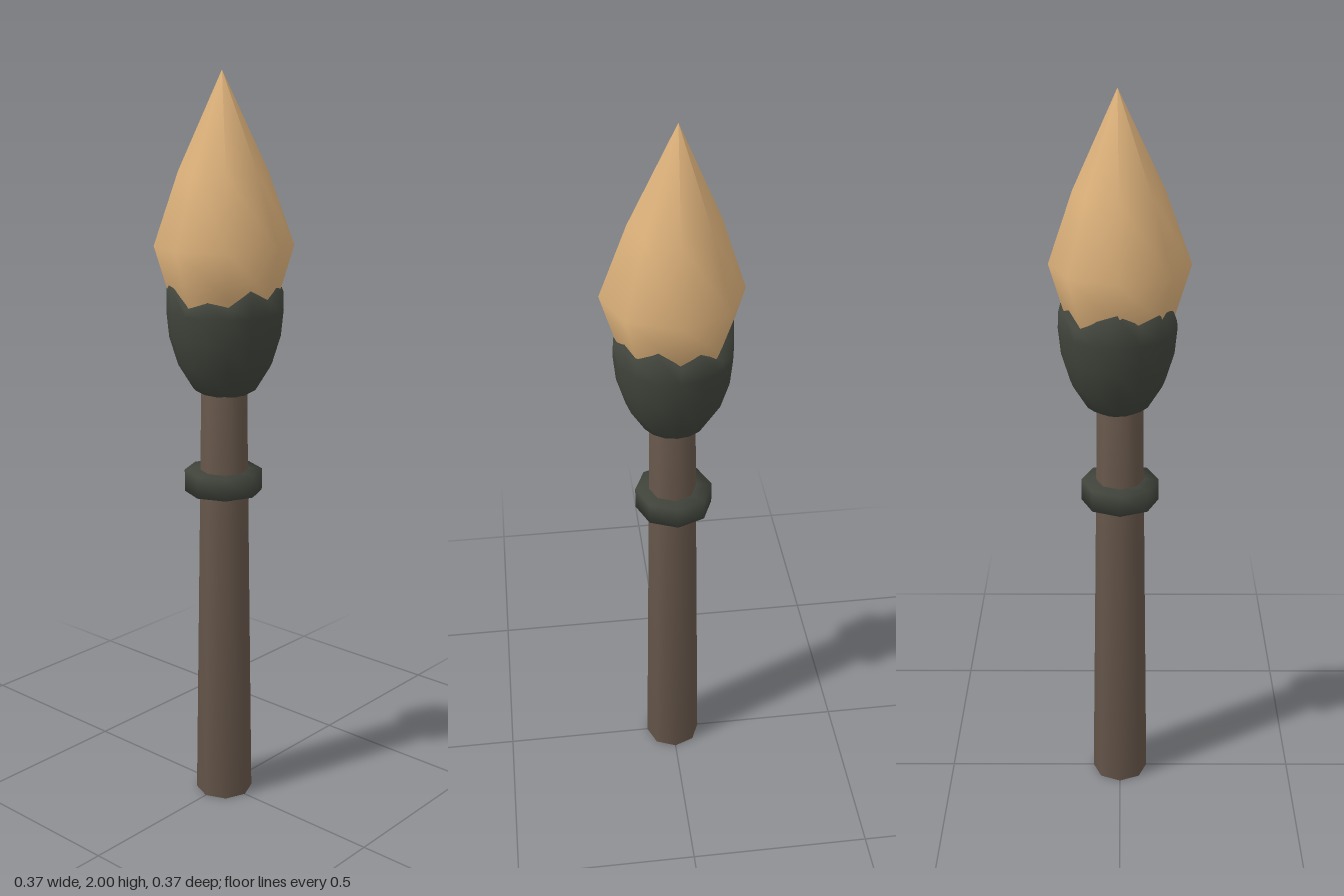
import * as THREE from 'three';

const wood = new THREE.MeshStandardMaterial({ color: 0x66564a });
wood.name = 'brown wood';
const iron = new THREE.MeshStandardMaterial({ color: 0x40443b });
iron.name = 'dark iron';
const fire = new THREE.MeshStandardMaterial({ color: 0xdbb07a });
fire.name = 'pale flame';

// Turned part from [radius, y] pairs listed bottom to top
function turned(name, profile, sides, material) {
  const points = profile.map(([r, y]) => new THREE.Vector2(r, y));
  const mesh = new THREE.Mesh(new THREE.LatheGeometry(points, sides), material);
  mesh.name = name;
  return mesh;
}

export function createModel() {
  const torch = new THREE.Group();
  torch.name = 'torch';

  // Tapered octagonal handle
  torch.add(turned('handle', [[0, 0], [0.079, 0], [0.067, 0.8], [0.061, 1.22], [0, 1.22]], 8, wood));

  // Collar around the handle
  const collar = turned('collar',
    [[0.055, 0.895], [0.105, 0.895], [0.105, 0.955], [0.055, 0.955]], 8, iron);
  collar.position.x = -0.003;
  torch.add(collar);

  // Rounded cup with a ragged rim
  const cup = turned('cup', [
    [0, 1.155], [0.045, 1.157], [0.085, 1.18], [0.125, 1.245],
    [0.148, 1.32], [0.155, 1.39], [0.153, 1.45], [0.11, 1.45],
  ], 16, iron);
  const rim = [1.41, 1.43, 1.42, 1.46, 1.43, 1.455, 1.44, 1.47,
    1.435, 1.455, 1.42, 1.45, 1.475, 1.44, 1.465, 1.455];
  const cupPos = cup.geometry.attributes.position;
  for (let i = 0; i <= 16; i++) {
    for (const row of [6, 7]) cupPos.setY(i * 8 + row, rim[i % 16]);
  }
  cup.geometry.computeBoundingSphere();
  cup.position.set(-0.002, 0, -0.006);
  torch.add(cup);

  // Pointed flame, its tip leaning slightly to one side
  const flame = turned('flame',
    [[0, 1.28], [0.1, 1.32], [0.147, 1.44], [0.183, 1.56], [0.116, 1.75], [0, 2]], 8, fire);
  const flamePos = flame.geometry.attributes.position;
  for (let i = 0; i < flamePos.count; i++) {
    const lean = Math.max(0, (flamePos.getY(i) - 1.56) / 0.44);
    flamePos.setX(i, flamePos.getX(i) - 0.013 * lean);
    flamePos.setZ(i, flamePos.getZ(i) - 0.006 * lean);
  }
  torch.add(flame);

  return torch;
}
